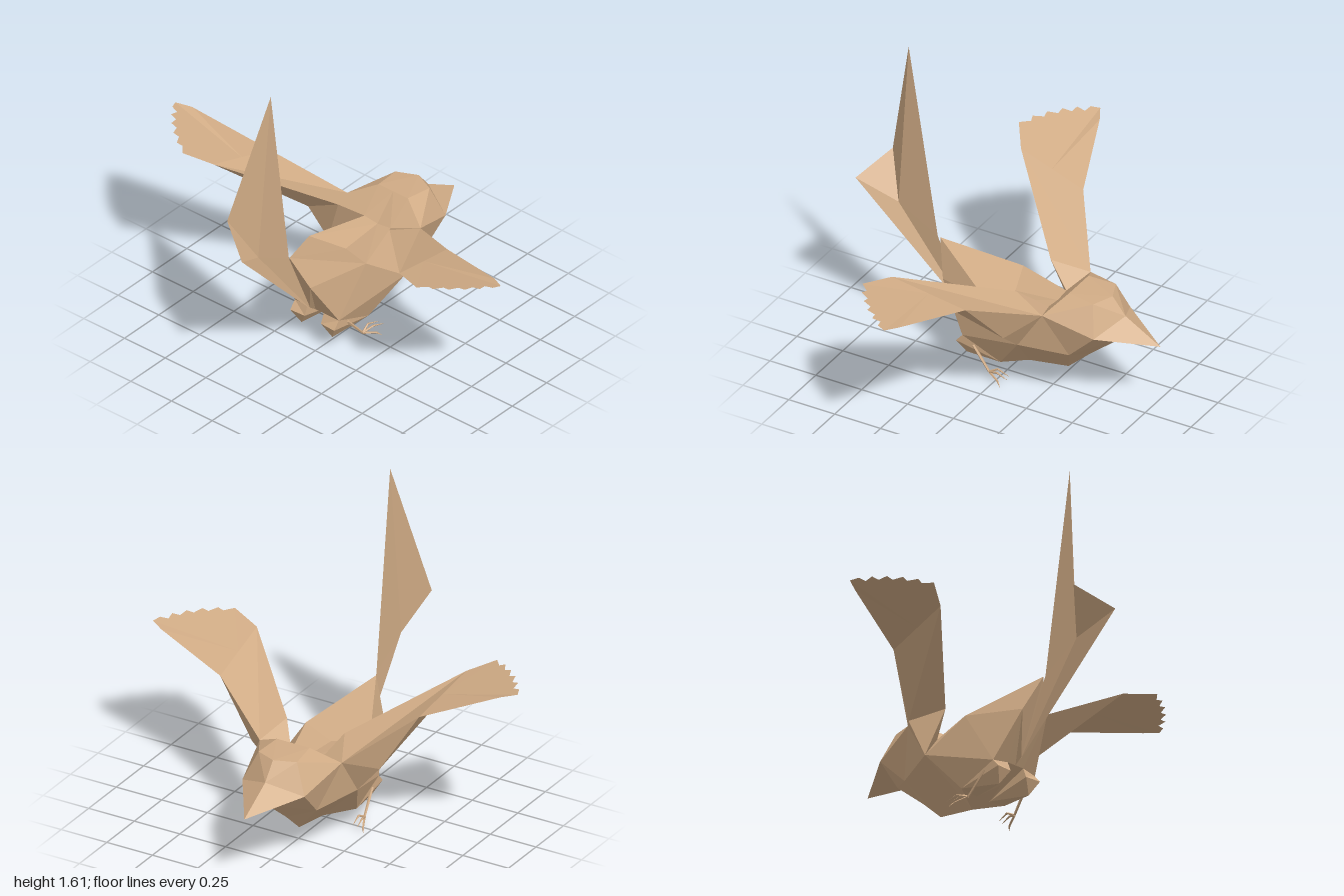
import * as THREE from 'three';

const material = new THREE.MeshStandardMaterial({ color: 0xd0ab85, flatShading: true, side: THREE.DoubleSide });
const MID = -0.04; // the body's centre line in x
const vec = (p) => new THREE.Vector3(...p);

// Mesh from triangles of points, each turned to face away from the given centre
function facets(name, tris, centre) {
  const pos = [], c = vec(centre);
  for (const tri of tris) {
    const [a, b, d] = tri.map(vec);
    const n = b.clone().sub(a).cross(d.clone().sub(a));
    const out = a.clone().add(b).add(d).divideScalar(3).sub(c);
    for (const p of n.dot(out) < 0 ? [a, d, b] : [a, b, d]) pos.push(p.x, p.y, p.z);
  }
  const g = new THREE.BufferGeometry();
  g.setAttribute('position', new THREE.Float32BufferAttribute(pos, 3));
  g.computeVertexNormals();
  const mesh = new THREE.Mesh(g, material);
  mesh.name = name;
  return mesh;
}

// Named points of one half of the body; x is the distance from the centre line
const P = {
  tip: [0, 0.37, -0.81], brow: [0, 0.48, -0.62], crown: [0, 0.568, -0.55], nape: [0, 0.574, -0.365],
  neck: [0, 0.45, -0.25], saddle: [0, 0.43, -0.02], rump: [0, 0.595, 0.39], vent: [0, 0.23, 0.24],
  rear: [0, 0.2, 0.2], belly: [0, 0.13, 0.1], keel: [0, 0.07, -0.095], breast: [0, 0.104, -0.31],
  throat: [0, 0.213, -0.43], chin: [0, 0.355, -0.605],
  cheek: [0.17, 0.417, -0.545], crownSide: [0.105, 0.565, -0.505], napeSide: [0.09, 0.574, -0.365],
  shoulder: [0.225, 0.5, -0.297], chest: [0.15, 0.274, -0.4], flank: [0.235, 0.304, -0.17],
  neckSide: [0.08, 0.46, -0.25], back: [0.175, 0.455, 0.04], rumpSide: [0.077, 0.425, 0.33],
  hip: [0.135, 0.19, 0.19], groin: [0.05, 0.2, 0.2], thighFront: [0.14, 0.11, -0.02],
  thighIn: [0.04, 0.1, -0.02], thighBottom: [0.095, 0.078, 0.19], thighRear: [0.135, 0.15, 0.225],
  thighRearIn: [0.05, 0.15, 0.22],
};
const at = (key, side) => [MID + side * P[key][0], P[key][1], P[key][2]];

const PARTS = {
  beak: ['tip brow cheek', 'tip cheek chin'],
  head: ['brow crown crownSide', 'brow crownSide cheek', 'crown nape napeSide', 'crown napeSide crownSide',
    'crownSide napeSide shoulder', 'crownSide shoulder cheek', 'cheek shoulder chest', 'cheek chest chin',
    'chest throat chin', 'nape neck neckSide', 'nape neckSide napeSide', 'napeSide neckSide shoulder'],
  body: ['shoulder flank chest', 'chest flank breast', 'chest breast throat', 'flank thighFront keel',
    'flank keel breast', 'neckSide shoulder flank', 'neckSide flank back', 'back flank hip',
    'back hip rumpSide', 'back rumpSide rump', 'neck neckSide back', 'neck back saddle', 'saddle back rump',
    'rump rumpSide vent', 'rumpSide hip groin', 'rumpSide groin rear', 'rumpSide rear vent',
    'hip flank thighFront', 'rear groin belly', 'groin thighIn belly', 'belly thighIn keel',
    'thighIn thighFront keel'],
};
const THIGH = ['groin thighRearIn hip', 'hip thighRearIn thighRear', 'thighRear thighRearIn thighBottom',
  'hip thighRear thighFront', 'thighRear thighBottom thighFront', 'groin thighRearIn thighIn',
  'thighRearIn thighBottom thighIn', 'thighBottom thighFront thighIn'];
const expand = (list, side) => list.map((t) => t.split(' ').map((k) => at(k, side)));

// Wing: a wedge from the shoulder to the wrist, then a thin hand with a notched feather edge
function wing(name, side, w) {
  const group = new THREE.Group();
  group.name = name;
  const S = at('shoulder', side), Q = at('flank', side), U = at('neckSide', side);
  const { top: T, elbow: B, wrist: E, fold: M } = w;
  const centre = [0, 1, 2].map((i) => (S[i] + T[i] + B[i] + E[i] * 0.5 + M[i] * 0.5) / 4);
  group.add(facets('innerWing', [
    [S, E, M], [S, M, T], [S, E, B], [B, E, M], [B, M, T],
    [S, B, Q], [T, B, Q], [T, U, S], [T, Q, U],
  ], centre));

  const hub = vec(E).lerp(vec(M), 0.5);
  const rim = [E, w.lead, w.tip];
  const feathers = 6;
  const edge = (t, s) => hub.clone().lerp(vec(w.tip).lerp(vec(w.corner), t), s + 0.1 * Math.sin(Math.PI * t)).toArray();
  for (let i = 1; i < feathers; i++) {
    const t = i / feathers;
    rim.push(edge(t - 0.02, 1.02), edge(t + 0.02, 0.94));
  }
  rim.push(w.corner, M);
  const fan = rim.slice(1).map((p, i) => [hub.toArray(), rim[i], p]);
  group.add(facets('wingFeathers', fan, [hub.x, hub.y - 1, hub.z]));
  return group;
}

// Thin tapered rod between two points
function rod(name, a, b, r0, r1) {
  const from = vec(a), dir = vec(b).sub(from);
  const mesh = new THREE.Mesh(new THREE.CylinderGeometry(r1, r0, dir.length(), 5), material);
  mesh.name = name;
  mesh.position.copy(from).addScaledVector(dir, 0.5);
  mesh.quaternion.setFromUnitVectors(new THREE.Vector3(0, 1, 0), dir.normalize());
  return mesh;
}

function leg(name, side) {
  const group = new THREE.Group();
  group.name = name;
  const p = (x, y, z) => [MID + side * x, y, z];
  const ankle = p(0.15, 0.045, 0.035);
  group.add(rod('shin', p(0.135, 0.155, 0.13), ankle, 0.008, 0.006));
  // Toes: knuckle, then the end of the claw
  const toes = [
    [p(0.18, 0.025, -0.03), p(0.195, 0.008, -0.05)],
    [p(0.17, 0.065, -0.02), p(0.18, 0.05, -0.08)],
    [p(0.145, 0.07, -0.01), p(0.155, 0.055, -0.075)],
  ];
  for (const [knuckle, claw] of toes) {
    group.add(rod('toe', ankle, knuckle, 0.006, 0.005), rod('claw', knuckle, claw, 0.005, 0.001));
  }
  return group;
}

export function createModel() {
  const model = new THREE.Group();
  model.name = 'bird';

  // Beak, head and body, both halves
  for (const [name, list] of Object.entries(PARTS)) {
    model.add(facets(name, [...expand(list, 1), ...expand(list, -1)], [MID, 0.3, -0.2]));
  }
  for (const side of [1, -1]) {
    model.add(facets('thigh', expand(THIGH, side), [MID + side * 0.09, 0.14, 0.12]));
    model.add(leg(side > 0 ? 'leftLeg' : 'rightLeg', side));
  }

  // Wings, one raised higher than the other
  model.add(wing('leftWing', 1, {
    top: [0.136, 0.556, -0.13], elbow: [0.31, 0.4, -0.16], wrist: [0.53, 0.65, -0.083], fold: [0.56, 0.73, 0.3],
    lead: [0.93, 0.73, 0.045], tip: [1, 0.74, 0.083], corner: [0.72, 0.757, 0.366],
  }));
  model.add(wing('rightWing', -1, {
    top: [-0.18, 0.56, -0.13], elbow: [-0.39, 0.44, -0.16], wrist: [-0.56, 0.727, -0.083], fold: [-0.6, 0.82, 0.28],
    lead: [-0.93, 0.875, 0.045], tip: [-1, 0.89, 0.083], corner: [-0.72, 0.874, 0.362],
  }));

  // Tail: a folded sheet rising behind the rump
  const base = [MID, 0.22, 0.235], root = [-0.035, 0.6, 0.4], bend = [-0.04, 0.72, 0.617];
  const peak = [-0.02, 1.613, 0.55], hook = [-0.15, 0.93, 0.713], end = [0.025, 0.826, 0.813];
  model.add(facets('tail', [
    [base, root, bend], [root, peak, bend], [peak, hook, bend], [hook, end, bend], [end, base, bend],
  ], [-1, 0.7, 0.5]));
  return model;
}
